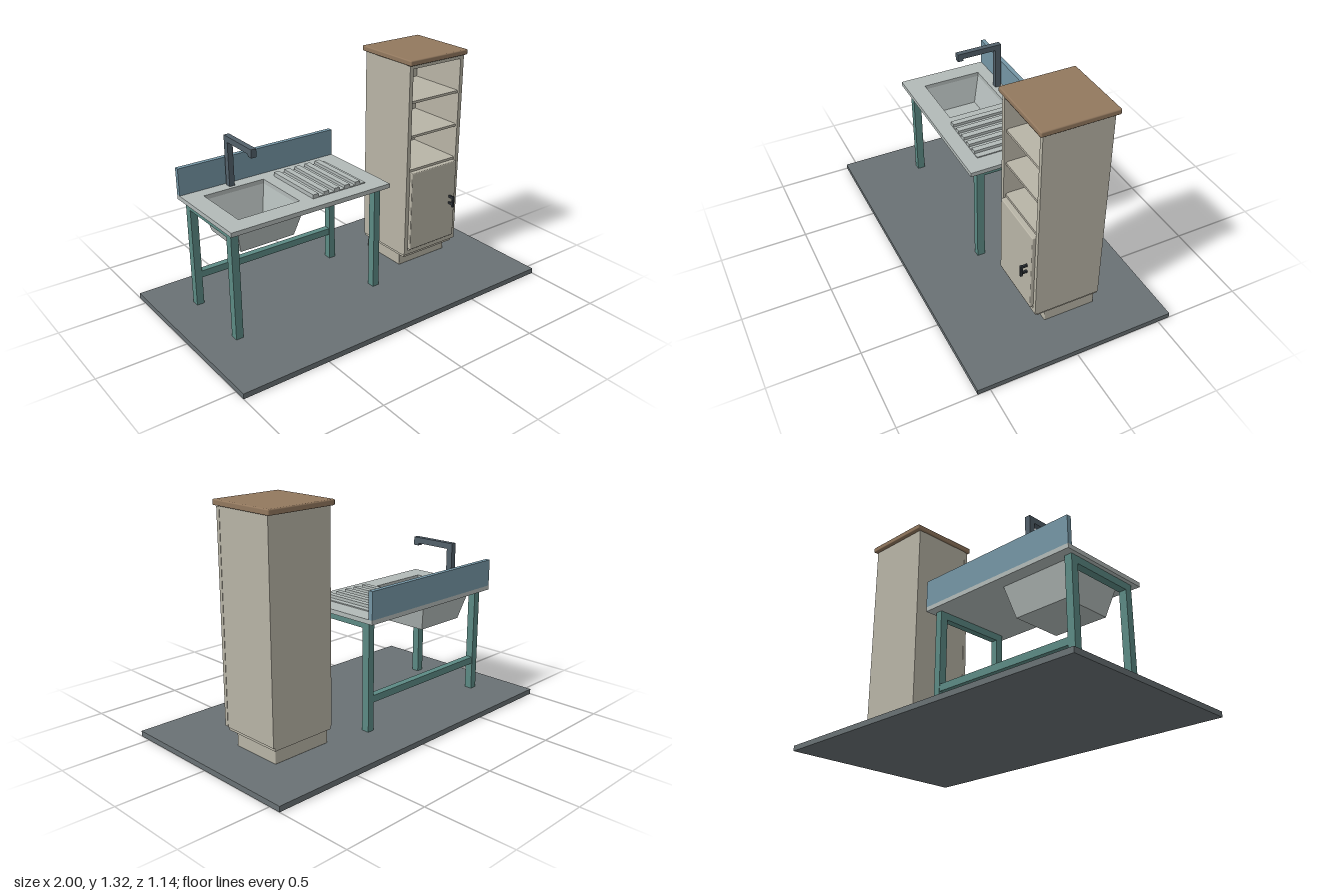
import * as THREE from 'three';
import { RoundedBoxGeometry } from 'three/addons/geometries/RoundedBoxGeometry.js';

const mat = (color) => new THREE.MeshStandardMaterial({ color });
const MAT = {
  floor: mat(0x697174), steel: mat(0xb2bab8), splash: mat(0x7596a5), frame: mat(0x5c8a84),
  tap: mat(0x52606a), body: mat(0xb8b4a6), wood: mat(0x92785e), dark: mat(0x2e3338),
};

function add(parent, name, geometry, material) {
  const mesh = new THREE.Mesh(geometry, material);
  mesh.name = name;
  parent.add(mesh);
  return mesh;
}

// Box given by its extents along each axis; r rounds the edges
function box(parent, name, material, [x0, x1], [y0, y1], [z0, z1], r = 0) {
  const size = [x1 - x0, y1 - y0, z1 - z0];
  const geo = r ? new RoundedBoxGeometry(...size, 2, r) : new THREE.BoxGeometry(...size);
  const mesh = add(parent, name, geo, material);
  mesh.position.set((x0 + x1) / 2, (y0 + y1) / 2, (z0 + z1) / 2);
  return mesh;
}

function rectPath(target, x0, x1, y0, y1) {
  target.moveTo(x0, y0);
  target.lineTo(x1, y0);
  target.lineTo(x1, y1);
  target.lineTo(x0, y1);
  target.closePath();
  return target;
}

// Rectangular plate with a rectangular hole, in the xy plane
function holedPlate(outer, hole, depth) {
  const shape = rectPath(new THREE.Shape(), ...outer);
  shape.holes.push(rectPath(new THREE.Path(), ...hole));
  return new THREE.ExtrudeGeometry(shape, { depth, bevelEnabled: false });
}

// Closed skin through rectangles [x0, x1, z0, z1, y], capped at both ends
function rectLoft(rects) {
  const rings = rects.map(([x0, x1, z0, z1, y]) =>
    [[x0, y, z0], [x1, y, z0], [x1, y, z1], [x0, y, z1]]);
  const pos = [];
  const quad = (a, b, c, d) => pos.push(...a, ...b, ...c, ...a, ...c, ...d);
  for (let i = 0; i < rings.length - 1; i++) {
    for (let j = 0; j < 4; j++) {
      const k = (j + 1) % 4;
      quad(rings[i][j], rings[i + 1][j], rings[i + 1][k], rings[i][k]);
    }
  }
  const [a, b, c, d] = rings[0];
  quad(a, b, c, d);
  const [e, f, g, h] = rings[rings.length - 1];
  quad(e, h, g, f);
  const geo = new THREE.BufferGeometry();
  geo.setAttribute('position', new THREE.Float32BufferAttribute(pos, 3));
  geo.computeVertexNormals();
  return geo;
}

function createSink() {
  const sink = new THREE.Group();
  sink.name = 'sinkUnit';

  // Worktop with the basin cut-out
  const top = add(sink, 'worktop',
    holedPlate([-0.82, 0.175, -0.21, 0.355], [-0.715, -0.345, -0.1, 0.255], 0.025), MAT.steel);
  top.rotation.x = -Math.PI / 2;
  top.position.y = 0.65;

  // Tapered basin: outer skin up, rim, inner skin down
  add(sink, 'basin', rectLoft([
    [-0.695, -0.37, -0.23, 0.075, 0.475],
    [-0.74, -0.325, -0.275, 0.12, 0.65],
    [-0.715, -0.345, -0.255, 0.1, 0.65],
    [-0.675, -0.385, -0.21, 0.06, 0.49],
  ]), MAT.steel);
  add(sink, 'drain', new THREE.CylinderGeometry(0.023, 0.023, 0.006, 12), MAT.tap)
    .position.set(-0.53, 0.492, -0.075);

  // Draining board: toothed profile extruded front to back
  const step = 0.0345, x0 = -0.275, board = new THREE.Shape();
  board.moveTo(x0, 0.67);
  for (let i = 0; i < 10; i++) {
    const y = i % 2 ? 0.681 : 0.698;
    board.lineTo(x0 + i * step, y);
    board.lineTo(x0 + (i + 1) * step, y);
  }
  board.lineTo(x0 + 10 * step, 0.67);
  add(sink, 'drainingBoard',
    new THREE.ExtrudeGeometry(board, { depth: 0.38, bevelEnabled: false }), MAT.steel)
    .position.z = -0.257;

  box(sink, 'splashback', MAT.splash, [-0.82, 0.175], [0.675, 0.83], [-0.355, -0.328]);

  // Legs, side aprons and rear stretcher
  for (const [side, x] of [['right', [-0.798, -0.755]], ['left', [0.107, 0.147]]]) {
    box(sink, side + 'FrontLeg', MAT.frame, x, [0.03, 0.65], [0.118, 0.163]);
    box(sink, side + 'RearLeg', MAT.frame, x, [0.03, 0.65], [-0.306, -0.261]);
    box(sink, side + 'Apron', MAT.frame, x, [0.61, 0.65], [-0.261, 0.118]);
  }
  box(sink, 'rearStretcher', MAT.frame, [-0.755, 0.107], [0.19, 0.23], [-0.303, -0.264]);

  // Square tap
  const tapX = [-0.546, -0.514];
  box(sink, 'tapPost', MAT.tap, tapX, [0.675, 0.965], [-0.313, -0.277]);
  box(sink, 'tapArm', MAT.tap, tapX, [0.931, 0.965], [-0.277, -0.035]);
  box(sink, 'tapSpout', MAT.tap, tapX, [0.918, 0.931], [-0.068, -0.035]);
  return sink;
}

function createCabinet() {
  const cab = new THREE.Group();
  cab.name = 'cabinet';
  const part = (name, ...rest) => box(cab, name, MAT.body, ...rest);

  // Base
  part('plinth', [0.393, 0.747], [0.03, 0.108], [-0.245, 0.057], 0.005);
  part('basePlate', [0.38, 0.757], [0.108, 0.126], [-0.256, 0.11]);

  // Carcass panels
  part('rightPanel', [0.372, 0.39], [0.126, 1.285], [-0.256, 0.106]);
  part('leftPanel', [0.748, 0.766], [0.126, 1.285], [-0.256, 0.106]);
  part('backPanel', [0.39, 0.748], [0.126, 1.285], [-0.256, -0.24]);
  part('floorPanel', [0.39, 0.748], [0.126, 0.15], [-0.24, 0.106]);
  part('ceilingPanel', [0.39, 0.748], [1.262, 1.285], [-0.24, 0.106]);
  for (const y of [0.665, 0.87, 1.073]) {
    part('shelf', [0.39, 0.748], [y - 0.014, y], [-0.24, 0.115]);
  }

  // Face frame
  add(cab, 'faceFrame',
    holedPlate([0.37, 0.768, 0.13, 1.28], [0.394, 0.744, 0.155, 1.262], 0.021), MAT.body)
    .position.z = 0.106;

  // Door and pull handle
  part('door', [0.398, 0.74], [0.165, 0.65], [0.106, 0.144], 0.005);
  for (const y of [0.385, 0.427]) {
    box(cab, 'handlePost', MAT.dark, [0.69, 0.701], [y, y + 0.013], [0.142, 0.172]);
  }
  box(cab, 'handleBar', MAT.dark, [0.688, 0.703], [0.372, 0.444], [0.17, 0.185], 0.004);

  // Wooden top
  box(cab, 'cabinetTop', MAT.wood, [0.36, 0.78], [1.284, 1.315], [-0.279, 0.144], 0.007);
  return cab;
}

export function createModel() {
  const model = new THREE.Group();
  model.name = 'kitchenSet';
  box(model, 'floor', MAT.floor, [-1, 1], [0, 0.03], [-0.57, 0.57]);
  model.add(createSink(), createCabinet());
  return model;
}
